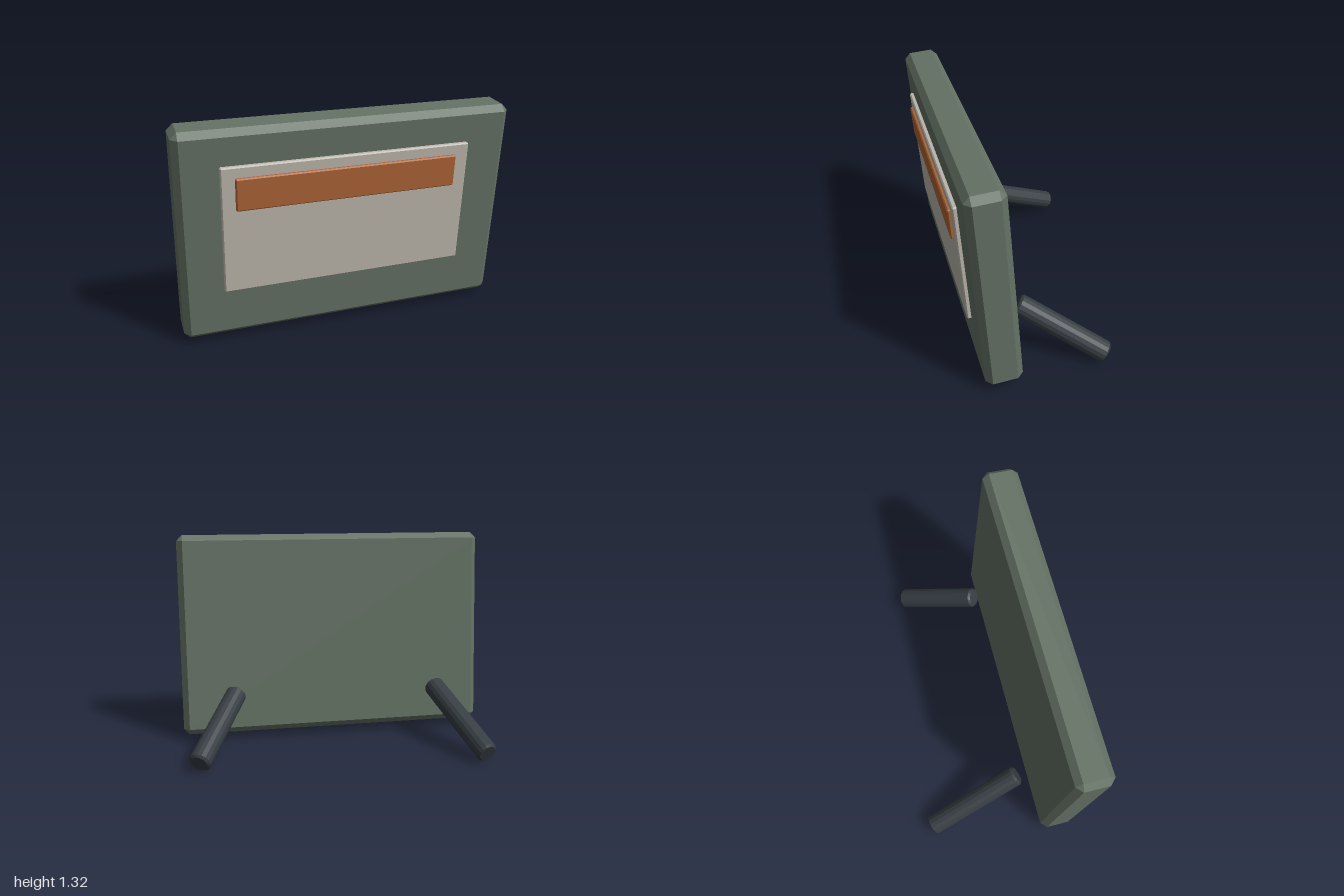
import * as THREE from 'three';
import { ConvexGeometry } from 'three/addons/geometries/ConvexGeometry.js';

// Box with every edge and corner cut by c
function chamferBox(w, h, d, c) {
  const pts = [];
  const [x, y, z] = [w / 2, h / 2, d / 2];
  for (const sx of [-1, 1]) for (const sy of [-1, 1]) for (const sz of [-1, 1]) {
    pts.push(
      new THREE.Vector3(sx * x, sy * (y - c), sz * (z - c)),
      new THREE.Vector3(sx * (x - c), sy * y, sz * (z - c)),
      new THREE.Vector3(sx * (x - c), sy * (y - c), sz * z)
    );
  }
  return new ConvexGeometry(pts);
}

// Round bar with bevelled ends, running from one point to another
function bar(from, to, r, bevel, material) {
  const a = new THREE.Vector3(...from), b = new THREE.Vector3(...to);
  const half = a.distanceTo(b) / 2;
  const profile = [
    [0, -half], [r - bevel, -half], [r, -half + bevel],
    [r, half - bevel], [r - bevel, half], [0, half],
  ].map(([x, y]) => new THREE.Vector2(x, y));
  const mesh = new THREE.Mesh(new THREE.LatheGeometry(profile, 16), material);
  mesh.position.copy(a).add(b).multiplyScalar(0.5);
  mesh.quaternion.setFromUnitVectors(new THREE.Vector3(0, 1, 0), b.sub(a).normalize());
  return mesh;
}

export function createModel() {
  const model = new THREE.Group();
  model.name = 'standingSign';
  const mat = (color) => new THREE.MeshStandardMaterial({ color, flatShading: true });

  // Board group: turned slightly and leaning forward
  const board = new THREE.Group();
  board.name = 'board';
  board.rotation.set(0.08, 0.1, 0, 'YXZ');
  board.position.set(0, 0.6725, 0.27);
  model.add(board);

  const addSlab = (name, size, position, color) => {
    const mesh = new THREE.Mesh(chamferBox(...size), mat(color));
    mesh.name = name;
    mesh.position.set(...position);
    board.add(mesh);
  };
  addSlab('panel', [1.982, 1.278, 0.22, 0.037], [0, 0, 0], 0x647164);
  addSlab('sheet', [1.474, 0.767, 0.04, 0.007], [-0.013, 0.055, 0.115], 0xbdb8ae);
  addSlab('headerStrip', [1.31, 0.192, 0.04, 0.007], [-0.016, 0.279, 0.133], 0xad6435);

  // Rear legs, splayed outwards and back to the ground
  const legMat = mat(0x363d42);
  const legs = [
    ['leftLeg', [0.627, 0.325, 0.0], [0.83, 0.054, -0.502]],
    ['rightLeg', [-0.667, 0.322, 0.09], [-0.868, 0.054, -0.502]],
  ];
  for (const [name, from, to] of legs) {
    const leg = bar(from, to, 0.066, 0.013, legMat);
    leg.name = name;
    model.add(leg);
  }
  return model;
}
